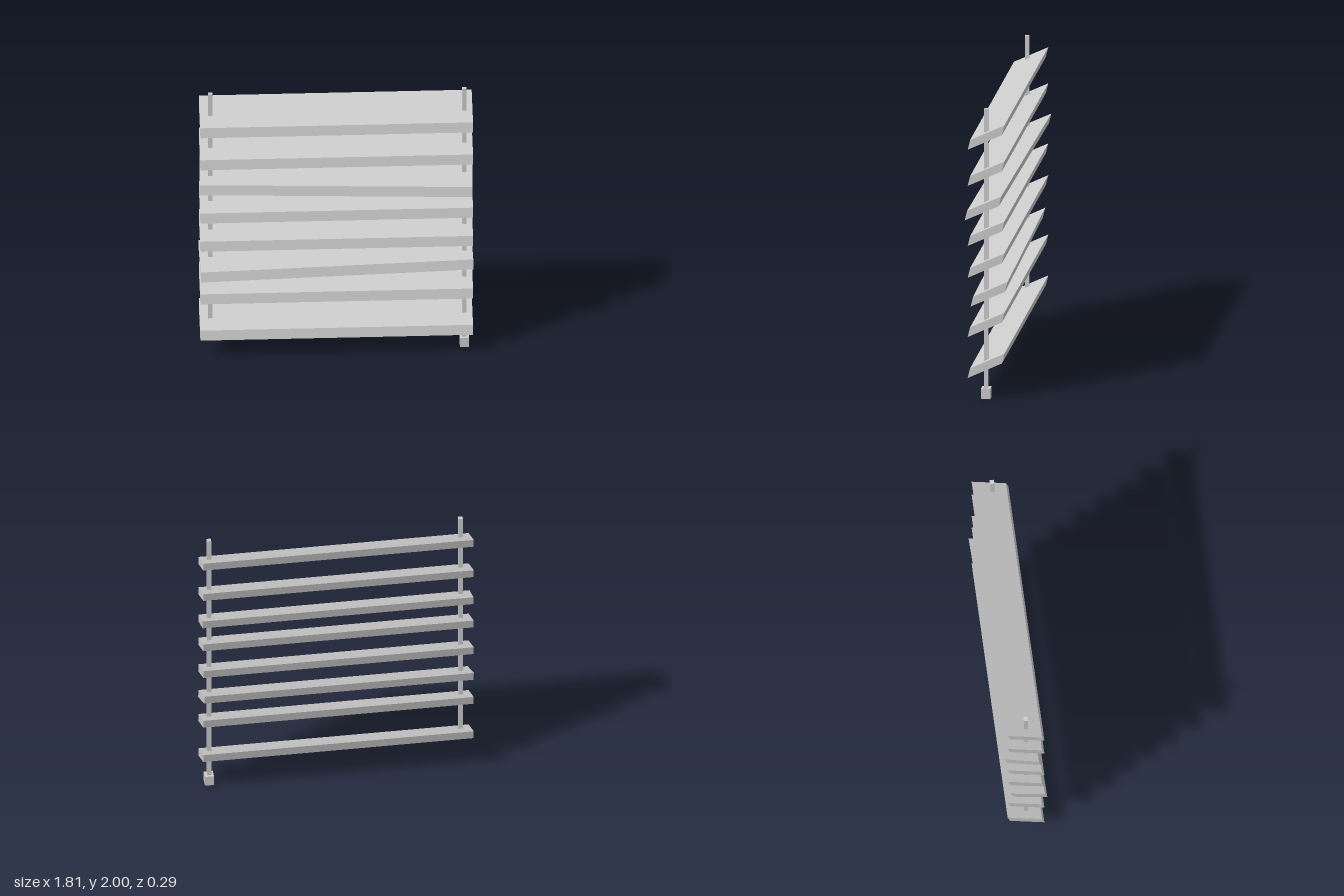
import * as THREE from 'three';

const material = new THREE.MeshStandardMaterial({ color: 0xcccccc, flatShading: true });

function addMesh(group, name, geometry, x, y, z) {
  const mesh = new THREE.Mesh(geometry, material);
  mesh.name = name;
  mesh.position.set(x, y, z);
  group.add(mesh);
  return mesh;
}

// Slat: slanted parallelogram section (z, y) swept along x
function slatGeometry(length) {
  const section = new THREE.Shape([
    new THREE.Vector2(0.123, -0.09),
    new THREE.Vector2(-0.107, 0.022),
    new THREE.Vector2(-0.123, 0.09),
    new THREE.Vector2(0.107, -0.022),
  ]);
  const geometry = new THREE.ExtrudeGeometry(section, { depth: length, bevelEnabled: false });
  geometry.translate(0, 0, -length / 2);
  geometry.rotateY(-Math.PI / 2);
  return geometry;
}

export function createModel() {
  const model = new THREE.Group();
  model.name = 'slattedBlind';

  // Slats from top to bottom: height, yaw, roll (two hang crooked)
  const slats = [
    [1.815, 0, 0],
    [1.565, 0, 0],
    [1.341, -0.023, -0.019],
    [1.15, 0, 0],
    [0.93, 0, 0],
    [0.718, 0.023, 0.017],
    [0.52, 0, 0],
    [0.237, 0, 0],
  ];
  const geometry = slatGeometry(1.806);
  slats.forEach(([y, yaw, roll], i) => {
    const slat = addMesh(model, `slat${i + 1}`, geometry, 0, y, 0);
    slat.rotation.set(0, yaw, roll);
  });

  // Square cords: the right one ends inside the lowest slat, the left one hangs below it
  const cordZ = 0.007;
  const addCord = (name, x, width, bottom) =>
    addMesh(model, name, new THREE.BoxGeometry(width, 2 - bottom, 0.028), x, (2 + bottom) / 2, cordZ);
  addCord('rightCord', -0.833, 0.031, 0.22);
  addCord('leftCord', 0.849, 0.028, 0.06);

  // Pull weight at the end of the long cord
  addMesh(model, 'cordWeight', new THREE.BoxGeometry(0.06, 0.072, 0.062), 0.849, 0.036, cordZ);

  return model;
}
